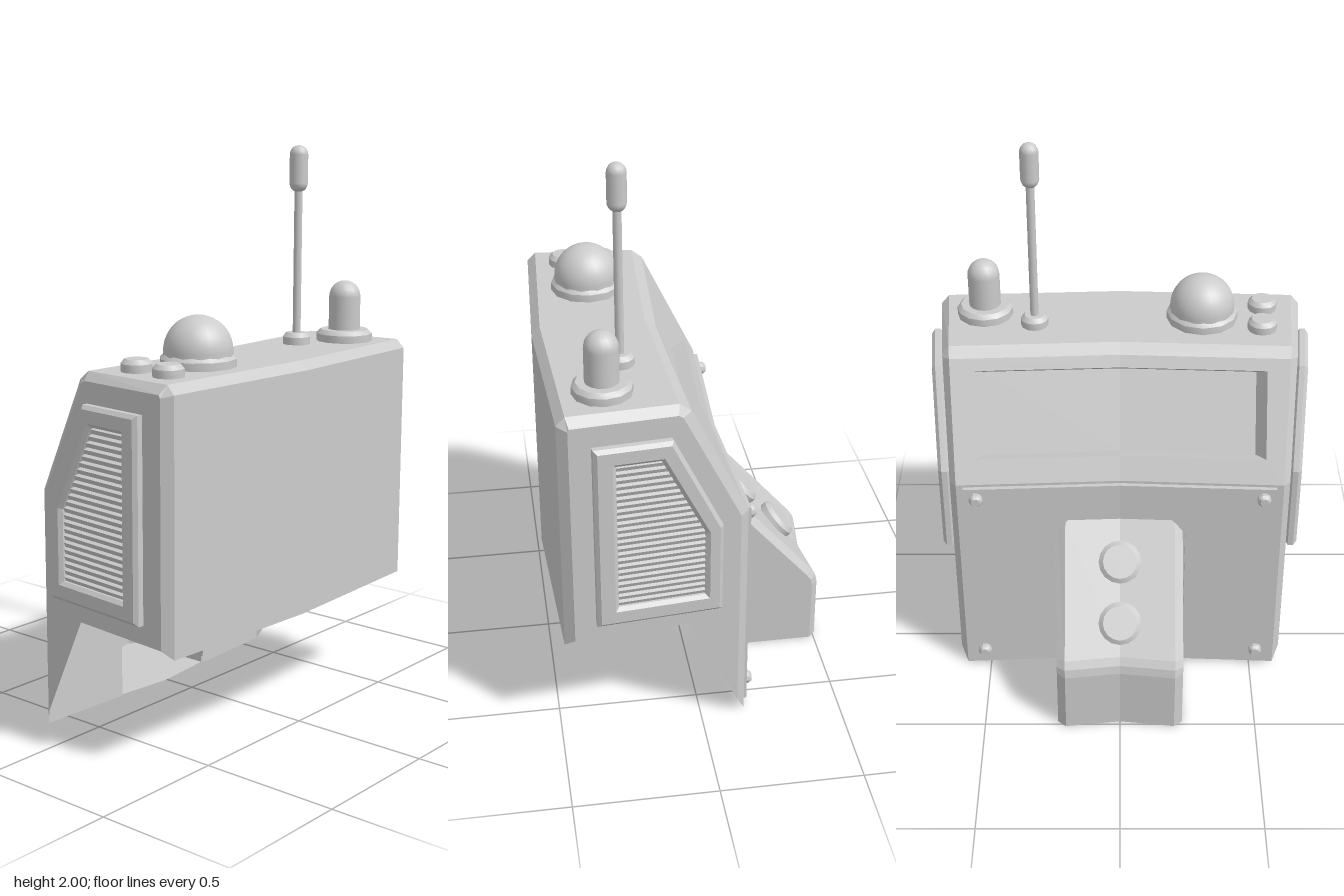
import * as THREE from 'three';
import { toCreasedNormals } from 'three/addons/utils/BufferGeometryUtils.js';

const shell = new THREE.MeshStandardMaterial({ color: 0xcccccc, side: THREE.DoubleSide });
shell.name = 'light grey';

const HALF = 0.62; // half width over which the body is bent
const V = (x, y, z) => new THREE.Vector3(x, y, z);
const shapeOf = pts => new THREE.Shape(pts.map(p => new THREE.Vector2(...p)));

function add(parent, geometry, name, x = 0, y = 0, z = 0) {
  const mesh = new THREE.Mesh(geometry, shell);
  mesh.name = name;
  mesh.position.set(x, y, z);
  parent.add(mesh);
  return mesh;
}

// Moves the middle (z = 0) back by amount, fading to nothing at |z| = half
function bend(geometry, amount = 0.03, half = HALF) {
  const p = geometry.attributes.position;
  for (let i = 0; i < p.count; i++) {
    p.setX(i, p.getX(i) + amount * Math.max(0, 1 - Math.abs(p.getZ(i)) / half));
  }
  geometry.computeVertexNormals();
  return geometry;
}

// Flat faces, each a convex polygon given counter-clockwise
function faces(polygons) {
  const pts = [];
  for (const q of polygons) {
    for (let i = 1; i < q.length - 1; i++) pts.push(q[0], q[i], q[i + 1]);
  }
  return new THREE.BufferGeometry().setFromPoints(pts);
}

// Flat shape whose 2D points are placed in space by a rule
function patch(shape, place) {
  const g = new THREE.ShapeGeometry(shape).toNonIndexed();
  const p = g.attributes.position;
  for (let i = 0; i < p.count; i++) p.setXYZ(i, ...place(p.getX(i), p.getY(i)));
  g.computeVertexNormals();
  return g;
}

// Quads joining matching points of two rings
function strip(a, b, skip = []) {
  const quads = [];
  for (let i = 0; i < a.length - 1; i++) {
    if (!skip.includes(i)) quads.push([a[i], b[i], b[i + 1], a[i + 1]]);
  }
  return quads;
}

const turned = (pts, sides) => toCreasedNormals(
  new THREE.LatheGeometry(pts.map(p => new THREE.Vector2(...p)), sides), 0.6);

const outerZ = x => 0.604 + 0.083 * x;
const capZ = x => 0.6275 + 0.0965 * x;

function bodyHalf() {
  const g = new THREE.Group();
  const outer = [[-0.16, 0], [-0.16, 0.85], [0.04, 1.26], [0.08, 1.29], [0.45, 1.29], [0.48, 1.26], [0.48, 0.4]];
  const cap = [[-0.13, 0.06], [-0.13, 0.845], [0.07, 1.25], [0.085, 1.26], [0.44, 1.26], [0.445, 1.25], [0.445, 0.43]];
  const mid = outer.map(([x, y]) => V(x, y, 0));
  const edge = outer.map(([x, y]) => V(x, y, outerZ(x)));
  const side = cap.map(([x, y]) => V(x, y, capZ(x)));

  // Roof and back, then the chamfer round the side; the underside is open
  add(g, bend(faces(strip(mid, edge, [0, 1]))), 'roofAndBack');
  add(g, bend(faces(strip(edge, side))), 'sideChamfer');
  add(g, patch(shapeOf([...cap, [0.05, 0.43]]), (x, y) => [x, y, capZ(x)]), 'sideWall');

  // Lower front with an opening behind the pillar
  const z0 = edge[0].z, z2 = edge[2].z;
  add(g, bend(patch(shapeOf([[0.23, 0], [z0, 0], [z0, 0.85], [0, 0.85], [0, 0.66], [0.2, 0.66], [0.23, 0.62]]),
    (u, v) => [-0.16, v, u])), 'lowerFront');

  // Sloped front around the recessed window
  const slope = (u, t) => [-0.16 + 0.2 * t, 0.85 + 0.41 * t, u];
  add(g, bend(patch(shapeOf([[0, 0], [z0, 0], [z2, 1], [0, 1], [0, 0.9], [0.525, 0.9], [0.525, 0.2], [0, 0.2]]), slope)), 'windowFrame');
  const rim = [[0, 0.2], [0.525, 0.2], [0.525, 0.9], [0, 0.9]].map(p => V(...slope(...p)));
  const floor = [[0, 0.22], [0.49, 0.22], [0.49, 0.88], [0, 0.88]]
    .map(p => V(...slope(...p)).add(V(0.05, -0.024, 0)));
  add(g, bend(faces([...strip(rim, floor).map(q => q.reverse()), floor])), 'windowRecess');

  // Thin front plate with bolts
  const plate = new THREE.ExtrudeGeometry(
    shapeOf([[0.24, 0.02], [0.565, 0.02], [0.565, 0.84], [0, 0.84], [0, 0.69], [0.19, 0.69], [0.24, 0.63]]),
    { depth: 0.016, bevelEnabled: false });
  plate.rotateY(-Math.PI / 2).translate(-0.16, 0, 0);
  add(g, bend(plate), 'frontPlate');
  for (const y of [0.08, 0.8]) {
    add(g, turned([[0.025, 0], [0.025, 0.014], [0.016, 0.026], [0, 0.026]], 10), 'bolt', -0.172, y, 0.52)
      .rotation.z = Math.PI / 2;
  }
  return g;
}

function pillarHalf() {
  const g = new THREE.Group();
  const outer = [[-0.51, 0], [-0.51, 0.24], [-0.503, 0.272], [-0.485, 0.3], [-0.15, 0.687]];
  const cap = [[-0.485, 0], [-0.485, 0.245], [-0.48, 0.268], [-0.465, 0.29], [-0.15, 0.65]];
  const mid = outer.map(([x, y]) => V(x, y, 0));
  const edge = outer.map(([x, y]) => V(x, y, 0.2));
  const side = cap.map(([x, y]) => V(x, y, 0.23));
  const base = [V(-0.15, 0, 0), V(-0.15, 0, 0.23), side[0], edge[0], mid[0]];
  add(g, bend(faces([...strip(mid, edge), ...strip(edge, side), base]), 0.025, 0.2), 'pillarFront');
  add(g, patch(shapeOf([...cap, [-0.15, 0]]), (x, y) => [x, y, 0.23]), 'pillarSide');
  return g;
}

// Raised side frame filled with slats
function vent() {
  const g = new THREE.Group();
  const frame = shapeOf([[-0.06, 0.5], [0.375, 0.5], [0.375, 1.19], [0.11, 1.19], [-0.06, 0.84]]);
  frame.holes.push(shapeOf([[0, 0.57], [0, 0.82], [0.15, 1.12], [0.3, 1.12], [0.3, 0.57]]));
  add(g, new THREE.ExtrudeGeometry(frame, {
    depth: 0.02, bevelThickness: 0.012, bevelSize: 0.013, bevelOffset: -0.013, bevelSegments: 1
  }), 'ventFrame', 0, 0, 0.01);
  for (let i = 0; i < 23; i++) {
    const y = 0.58 + i * 0.024;
    const x0 = Math.max(0, (y - 0.82) / 2) - 0.008;
    add(g, new THREE.BoxGeometry(0.308 - x0, 0.017, 0.02), 'ventSlat', (x0 + 0.308) / 2, y, 0.015)
      .rotation.x = 0.4;
  }
  g.position.z = 0.6275;
  g.rotation.y = -0.0962;
  return g;
}

export function createModel() {
  const model = new THREE.Group();
  model.name = 'consoleUnit';

  for (const s of [1, -1]) {
    const half = new THREE.Group();
    half.name = s > 0 ? 'leftHalf' : 'rightHalf';
    for (const [name, part] of [['body', bodyHalf()], ['pillar', pillarHalf()], ['sideVent', vent()]]) {
      part.name = name;
      half.add(part);
    }
    half.scale.z = s;
    model.add(half);
  }

  // Round buttons on the sloping pillar
  for (const x of [-0.395, -0.25]) {
    add(model, turned([[0, -0.045], [0.078, -0.045], [0.078, 0.006], [0.062, 0.02], [0, 0.02]], 16),
      'pillarButton', x, 0.3 + 1.156 * (x + 0.485), 0).rotation.z = 0.859;
  }

  // Chamfered bases on the roof
  const foot = (r, x, z, name) => add(model,
    turned([[r, 0], [r, 0.028], [r - 0.014, 0.043], [0, 0.043]], 12), name, x, 1.289, z);

  // Large dome
  foot(0.13, 0.285, 0.3, 'domeBase');
  add(model, new THREE.SphereGeometry(0.117, 24, 10, 0, Math.PI * 2, 0, Math.PI / 2), 'dome', 0.285, 1.343, 0.3);
  add(model, new THREE.CylinderGeometry(0.117, 0.117, 0.03, 24, 1, true), 'domeWall', 0.285, 1.33, 0.3);

  // Beacon
  foot(0.102, 0.315, -0.495, 'beaconBase');
  add(model, new THREE.CapsuleGeometry(0.058, 0.134, 6, 16), 'beacon', 0.315, 1.385, -0.495);

  // Antenna
  foot(0.05, 0.235, -0.31, 'antennaBase');
  add(model, new THREE.CylinderGeometry(0.015, 0.015, 0.53, 10), 'antennaRod', 0.235, 1.585, -0.31);
  add(model, new THREE.CapsuleGeometry(0.033, 0.1, 5, 12), 'antennaTip', 0.235, 1.917, -0.31);

  // Small roof buttons
  foot(0.053, 0.205, 0.515, 'roofButton');
  foot(0.053, 0.352, 0.525, 'roofButton');
  return model;
}
